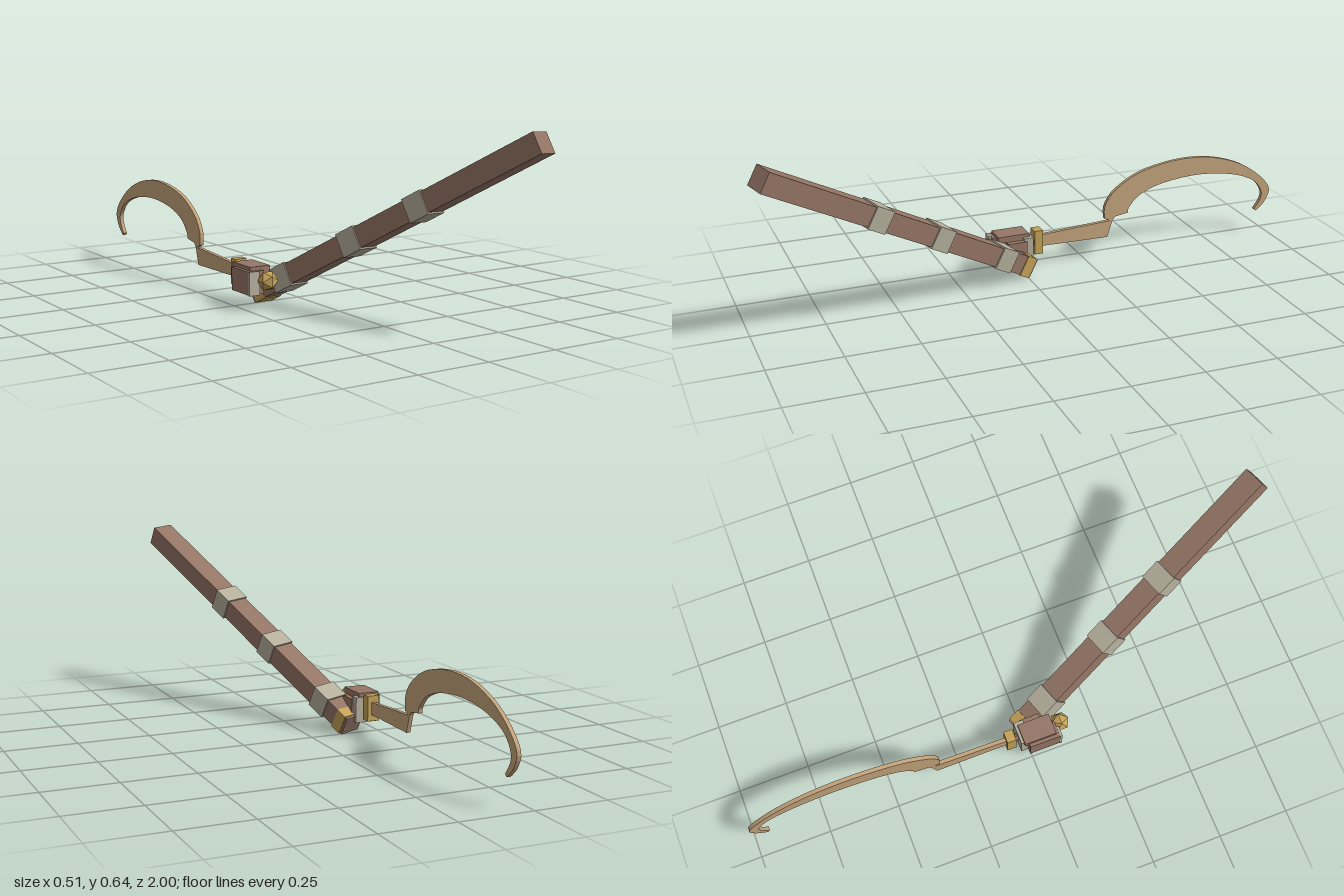
import * as THREE from 'three';

const mat = (color) => new THREE.MeshStandardMaterial({ color, flatShading: true });
const brown = mat(0x957666), grey = mat(0xb5af9c), gold = mat(0xc4a258), tan = mat(0xc3a37b);

export function createModel() {
  const model = new THREE.Group();

  const add = (parent, name, geometry, material, x, y, z) => {
    const mesh = new THREE.Mesh(geometry, material);
    mesh.name = name;
    mesh.position.set(x, y, z);
    parent.add(mesh);
    return mesh;
  };
  // Box given by its limits on each axis
  const block = (parent, name, material, x0, x1, y0, y1, z0, z1) =>
    add(parent, name, new THREE.BoxGeometry(x1 - x0, y1 - y0, z1 - z0), material,
      (x0 + x1) / 2, (y0 + y1) / 2, (z0 + z1) / 2);

  // Long square beam, its local +z pointing up and out to the front
  const beam = new THREE.Group();
  beam.name = 'beam';
  const d = new THREE.Vector3(0.304, 0.481, 0.823).normalize();
  const r = new THREE.Vector3(0.946, -0.08, -0.31);
  r.addScaledVector(d, -r.dot(d)).normalize();
  const u = new THREE.Vector3().crossVectors(d, r);
  beam.quaternion.setFromRotationMatrix(new THREE.Matrix4().makeBasis(r, u, d));
  beam.position.set(0.213, 0.609, 0.97);
  model.add(beam);
  const length = 1.19;
  add(beam, 'beamShaft', new THREE.BoxGeometry(0.077, 0.07, length), brown, 0, 0, -length / 2);
  for (const t of [0.46, 0.74, 1.05]) {
    add(beam, 'beamBand', new THREE.BoxGeometry(0.087, 0.08, 0.073), grey, 0, 0, -t);
  }
  add(beam, 'beamEndBand', new THREE.BoxGeometry(0.083, 0.075, 0.042), gold, 0, 0, -1.16);

  // Blocky grip that joins the beam to the sickle
  const grip = new THREE.Group();
  grip.name = 'grip';
  model.add(grip);
  block(grip, 'gripOuterBlock', brown, -0.252, -0.195, 0.056, 0.134, -0.01, 0.1);
  block(grip, 'gripFrontPlate', grey, -0.253, -0.215, 0.055, 0.135, 0.1, 0.108);
  block(grip, 'gripTopBlock', brown, -0.24, -0.165, 0.125, 0.147, -0.025, 0.09);
  block(grip, 'gripInnerBlock', brown, -0.175, -0.145, 0.06, 0.125, -0.01, 0.06);
  block(grip, 'gripBackPlate', grey, -0.23, -0.15, 0.047, 0.135, -0.035, 0);

  // Sickle handle: rod, faceted pommel and guard
  const sickle = new THREE.Group();
  sickle.name = 'sickle';
  model.add(sickle);
  const cx = -0.193, cy = 0.103;
  const rod = new THREE.CylinderGeometry(0.014, 0.014, 0.19, 8).rotateX(Math.PI / 2);
  add(sickle, 'handleRod', rod, brown, cx, cy, 0.035);
  add(sickle, 'pommel', new THREE.IcosahedronGeometry(0.035, 0), gold, cx, cy, 0.122);
  block(sickle, 'guard', gold, -0.214, -0.172, 0.06, 0.148, -0.08, -0.048);

  // Blade outline: distance to the back, then height
  const points = (list) => list.map(([a, b]) => new THREE.Vector2(a, b));
  const outline = new THREE.Shape(points([
    [0.07, 0.083], [0.335, 0.08], [0.355, 0.143], [0.365, 0.155], [0.415, 0.163],
  ]));
  outline.splineThru(points([
    [0.42, 0.184], [0.463, 0.227], [0.553, 0.259], [0.687, 0.273], [0.82, 0.26],
    [0.917, 0.227], [0.96, 0.184], [0.965, 0.147], [0.938, 0.104],
  ]));
  outline.lineTo(0.947, 0.096);
  outline.splineThru(points([
    [0.982, 0.13], [0.998, 0.18], [0.955, 0.235], [0.874, 0.291], [0.767, 0.329], [0.66, 0.342],
    [0.553, 0.334], [0.447, 0.307], [0.361, 0.254], [0.324, 0.2], [0.324, 0.152],
  ]));
  outline.lineTo(0.345, 0.142);
  outline.lineTo(0.07, 0.125);
  const blade = new THREE.ExtrudeGeometry(outline, { depth: 0.014, bevelEnabled: false, curveSegments: 3 });
  blade.rotateY(Math.PI / 2);
  add(sickle, 'blade', blade, tan, cx - 0.007, 0, 0);

  return model;
}
